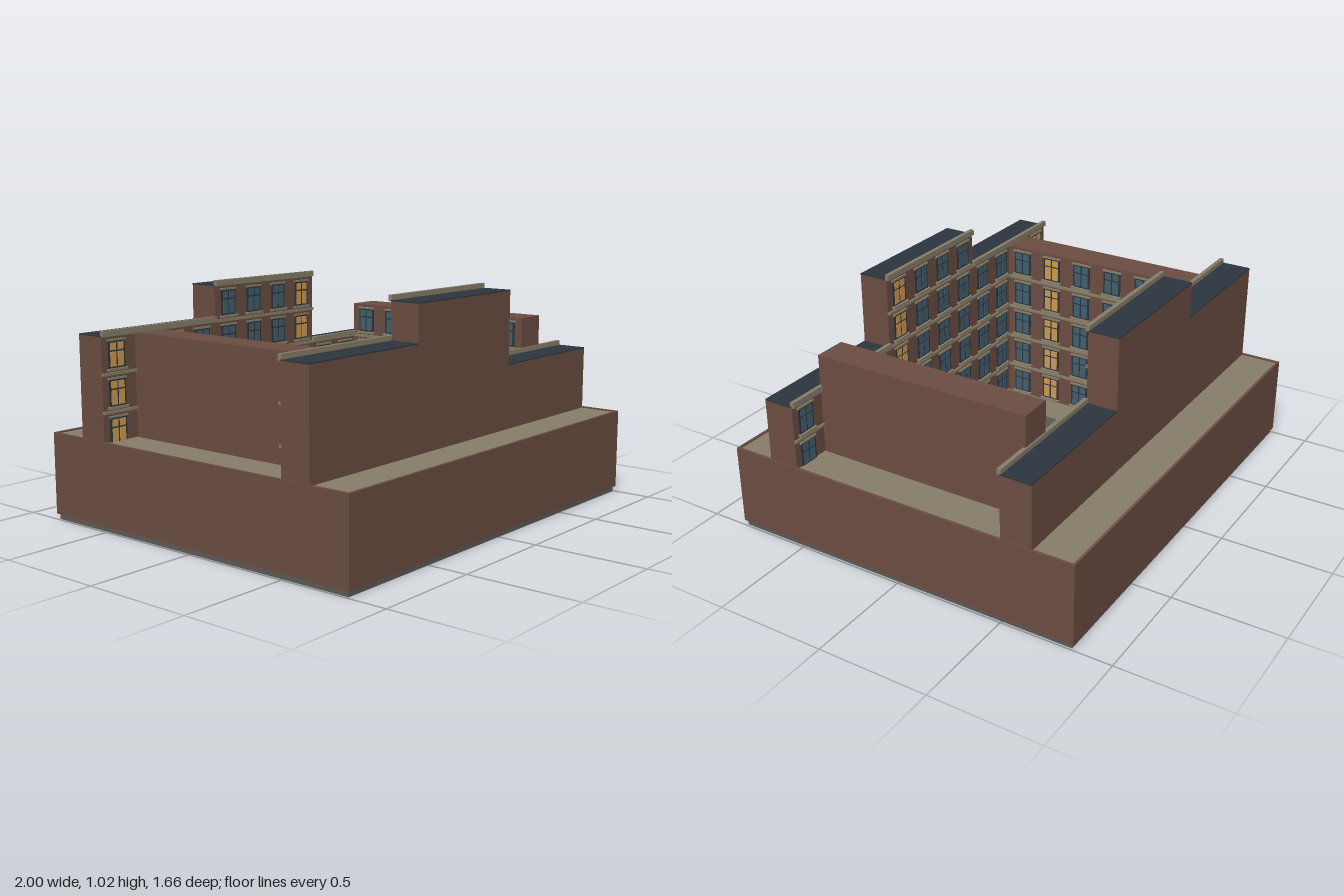
import * as THREE from 'three';
import { mergeGeometries } from 'three/addons/utils/BufferGeometryUtils.js';

const mat = (name, color) => {
  const m = new THREE.MeshStandardMaterial({ color });
  m.name = name;
  return m;
};

export function createModel() {
  const brick = mat('brick', 0x6b4d42), stone = mat('stone', 0x867e69), slate = mat('slate', 0x2c363e);
  const paving = mat('paving', 0x5c5955), glass = mat('blue glass', 0x43606f), lit = mat('lit glass', 0xcf9a50);
  const leaf = mat('foliage', 0x3f3a2c), iron = mat('iron', 0x22282c), carGlass = mat('car window', 0x6b6760);
  const root = new THREE.Group();
  root.name = 'courtyardBlock';

  // box from min and max corners
  const span = (x0, x1, y0, y1, z0, z1) =>
    new THREE.BoxGeometry(x1 - x0, y1 - y0, z1 - z0).translate((x0 + x1) / 2, (y0 + y1) / 2, (z0 + z1) / 2);
  const add = (name, geo, material, parent = root) => {
    const mesh = new THREE.Mesh(Array.isArray(geo) ? mergeGeometries(geo) : geo, material);
    mesh.name = name;
    parent.add(mesh);
    return mesh;
  };
  const group = (name) => {
    const g = new THREE.Group();
    g.name = name;
    root.add(g);
    return g;
  };

  const G = 0.025, F = 0.1625, M = 1 / 6; // ground level, storey height, bay width
  const level = (n) => G + F * n;
  const sections = [[-0.995, -0.333, 5], [-0.333, 0.333, 6], [0.333, 0.995, 4]];

  // ground slab and raised surrounding podium
  add('groundSlab', span(-0.99, 0.99, 0, G, -0.82, 0.82), paving);
  const podium = [], ledge = [], rim = [];
  for (const s of [-1, 1]) {
    const z = [0.64 * s, 0.83 * s].sort((a, b) => a - b);
    const x = [0.81 * s, s].sort((a, b) => a - b);
    podium.push(span(-1, 1, G, 0.38, ...z), span(...x, G, 0.38, -0.64, 0.64));
    ledge.push(span(-0.988, 0.988, 0.38, 0.384, 0.73 * s - 0.09, 0.73 * s + 0.09),
      span(0.9 * s - 0.088, 0.9 * s + 0.088, 0.38, 0.384, -0.64, 0.64));
    rim.push(span(-1, 1, 0.38, 0.39, 0.824 * s - 0.006, 0.824 * s + 0.006),
      span(0.994 * s - 0.006, 0.994 * s + 0.006, 0.38, 0.39, -0.818, 0.818));
  }
  add('podium', podium, brick);
  add('podiumLedge', ledge, stone);
  add('podiumRim', rim, brick);

  // one facade facing local +z: bays are [centre, firstFloor, lastFloor, isLit]
  const facade = (name, bays, bands) => {
    const g = group(name);
    const frames = [], sills = [], panes = [], litPanes = [];
    for (const [u, first, last, isLit] of bays) {
      for (let n = first; n < last; n++) {
        const y = level(n) + 0.023;
        frames.push(span(u - 0.045, u + 0.045, y, y + 0.115, -0.004, 0.005));
        sills.push(span(u - 0.052, u + 0.052, y - 0.01, y, -0.004, 0.016));
        sills.push(span(u - 0.05, u + 0.05, y + 0.115, y + 0.123, -0.004, 0.008));
        for (const s of [-1, 1]) {
          const list = isLit ? litPanes : panes, c = u + s * 0.02;
          list.push(span(c - 0.016, c + 0.016, y + 0.007, y + 0.07, 0, 0.007));
          list.push(span(c - 0.016, c + 0.016, y + 0.077, y + 0.108, 0, 0.007));
        }
      }
    }
    add('windowFrames', frames, slate, g);
    add('windowSills', sills, stone, g);
    add('windowPanes', panes, glass, g);
    add('litWindowPanes', litPanes, lit, g);
    add('stringCourses', bands.map(([a, b, y]) => span(a, b, y - 0.006, y + 0.006, -0.004, 0.009)), stone, g);
    return g;
  };

  // front and back rows, stepped in height, windows towards the court
  for (const s of [-1, 1]) {
    const side = s > 0 ? 'front' : 'back';
    const walls = [], roofs = [], cornices = [], bays = [], bands = [];
    sections.forEach(([x0, x1, floors], k) => {
      const top = level(floors);
      walls.push(span(x0, x1, G, top - 0.004, 0.57 * s - 0.07, 0.57 * s + 0.07));
      roofs.push(span(x0, x1, top - 0.004, top + 0.001, 0.57 * s - 0.07, 0.57 * s + 0.07));
      cornices.push(span(x0, x1, top - 0.004, top + 0.022, 0.497 * s - 0.009, 0.497 * s + 0.009));
      for (let i = 0; i < 4; i++) {
        const col = k * 4 + i, x = -1 + M * (col + 0.5);
        if (col === 1 || col === 10) continue; // covered by the wings
        bays.push([-s * x, col === 0 || col === 11 ? 2 : 0, floors, col === 0 || col === 7]);
      }
      for (let n = 1; n < floors; n++) {
        const ends = [-s * x0, -s * x1].sort((a, b) => a - b);
        bands.push([ends[0], ends[1], level(n)]);
      }
    });
    add(side + 'RowWalls', walls, brick);
    add(side + 'RowRoofs', roofs, slate);
    add(side + 'RowCornices', cornices, stone);
    const f = facade(side + 'RowFacade', bays, bands);
    f.position.z = 0.5 * s;
    f.rotation.y = s > 0 ? Math.PI : 0;
  }

  // side wings
  for (const s of [-1, 1]) {
    const side = s > 0 ? 'left' : 'right';
    add(side + 'Wing', span(0.735 * s - 0.075, 0.735 * s + 0.075, G, 0.835, -0.5, 0.5), brick);
    const bays = [], bands = [];
    for (let i = 0; i < 6; i++) {
      const z = -0.5 + M * (i + 0.5);
      bays.push([s * z, 0, 5, i === 4]);
    }
    for (let n = 1; n < 5; n++) bands.push([-0.49, 0.49, level(n)]);
    const f = facade(side + 'WingFacade', bays, bands);
    f.position.x = 0.66 * s;
    f.rotation.y = -s * Math.PI / 2;
  }

  // courtyard floor
  add('courtPavement', span(-0.66, 0.66, G, G + 0.006, -0.5, 0.5), stone);
  add('courtYard', span(-0.495, 0.495, G, G + 0.01, -0.33, 0.33), paving);
  add('centreTile', span(-0.083, 0.083, G, G + 0.013, -0.083, 0.083), slate);
  const floorY = G + 0.01;
  for (const [x, z] of [[0.16, -0.11], [-0.17, 0.11]]) {
    const puddle = add('puddle', new THREE.CylinderGeometry(1, 1, 0.003, 14), slate);
    puddle.scale.set(0.065, 1, 0.026);
    puddle.position.set(x, floorY + 0.001, z);
  }
  add('drains', [-1, 1].map((s) => span(s * 0.44 - 0.013, s * 0.44 + 0.013, G, floorY + 0.004, s * 0.27 - 0.013, s * 0.27 + 0.013)), iron);

  // low railings along the yard edges
  const rails = [];
  for (const s of [-1, 1]) {
    rails.push(span(-0.485, 0.485, 0.068, 0.072, s * 0.323 - 0.003, s * 0.323 + 0.003));
    for (let i = 0; i <= 48; i++) {
      const x = -0.48 + i * 0.02;
      rails.push(span(x - 0.002, x + 0.002, floorY, 0.075, s * 0.323 - 0.002, s * 0.323 + 0.002));
    }
  }
  add('railings', rails, iron);

  // planters with shrubs
  const kerbs = [], soil = [], shrubs = [];
  [[-0.28, -0.225], [0.275, -0.28], [-0.335, 0.22], [0.33, 0.22]].forEach(([x, z], k) => {
    for (const s of [-1, 1]) {
      kerbs.push(span(x - 0.08, x + 0.08, floorY, 0.06, z + s * 0.037 - 0.004, z + s * 0.037 + 0.004));
      kerbs.push(span(x + s * 0.076 - 0.004, x + s * 0.076 + 0.004, floorY, 0.06, z - 0.033, z + 0.033));
    }
    soil.push(span(x - 0.073, x + 0.073, floorY, 0.05, z - 0.034, z + 0.034));
    for (let i = 0; i < 6; i++) {
      shrubs.push(new THREE.IcosahedronGeometry(0.014 + 0.004 * ((i + k) % 3), 0)
        .translate(x - 0.05 + i * 0.02, 0.06, z + 0.014 * Math.sin(i * 2.3 + k)));
    }
  });
  add('planterKerbs', kerbs, stone);
  add('planterSoil', soil, paving);
  add('shrubs', shrubs, leaf);

  // parked car, side profile extruded across its width
  const profile = (pts, w) => {
    const shape = new THREE.Shape(pts.map(([a, b]) => new THREE.Vector2(a, b)));
    return new THREE.ExtrudeGeometry(shape, { depth: w, bevelEnabled: false }).translate(0, 0, -w / 2).rotateY(Math.PI / 2);
  };
  const car = group('car');
  car.position.set(0.38, floorY, -0.075);
  add('carBody', profile([[-0.115, 0.015], [0.115, 0.015], [0.115, 0.038], [0.1, 0.045], [-0.1, 0.047], [-0.115, 0.038]], 0.088), slate, car);
  add('carCabin', profile([[-0.05, 0.045], [0.085, 0.045], [0.06, 0.07], [-0.02, 0.07]], 0.072), carGlass, car);
  add('carRoof', span(-0.032, 0.032, 0.07, 0.073, -0.055, 0.015), carGlass, car);
  const wheels = [];
  for (const x of [-0.04, 0.04]) for (const z of [-0.07, 0.07]) {
    wheels.push(new THREE.CylinderGeometry(0.017, 0.017, 0.012, 12).rotateZ(Math.PI / 2).translate(x, 0.017, z));
  }
  add('wheels', wheels, iron, car);

  // tall court lamp
  const lamp = group('courtLamp');
  add('lampPost', new THREE.CylinderGeometry(0.002, 0.003, 0.74, 6).translate(0.588, 0.4, 0), iron, lamp);
  add('bench', span(0.552, 0.57, G, 0.055, -0.03, 0.03), brick, lamp);
  return root;
}
